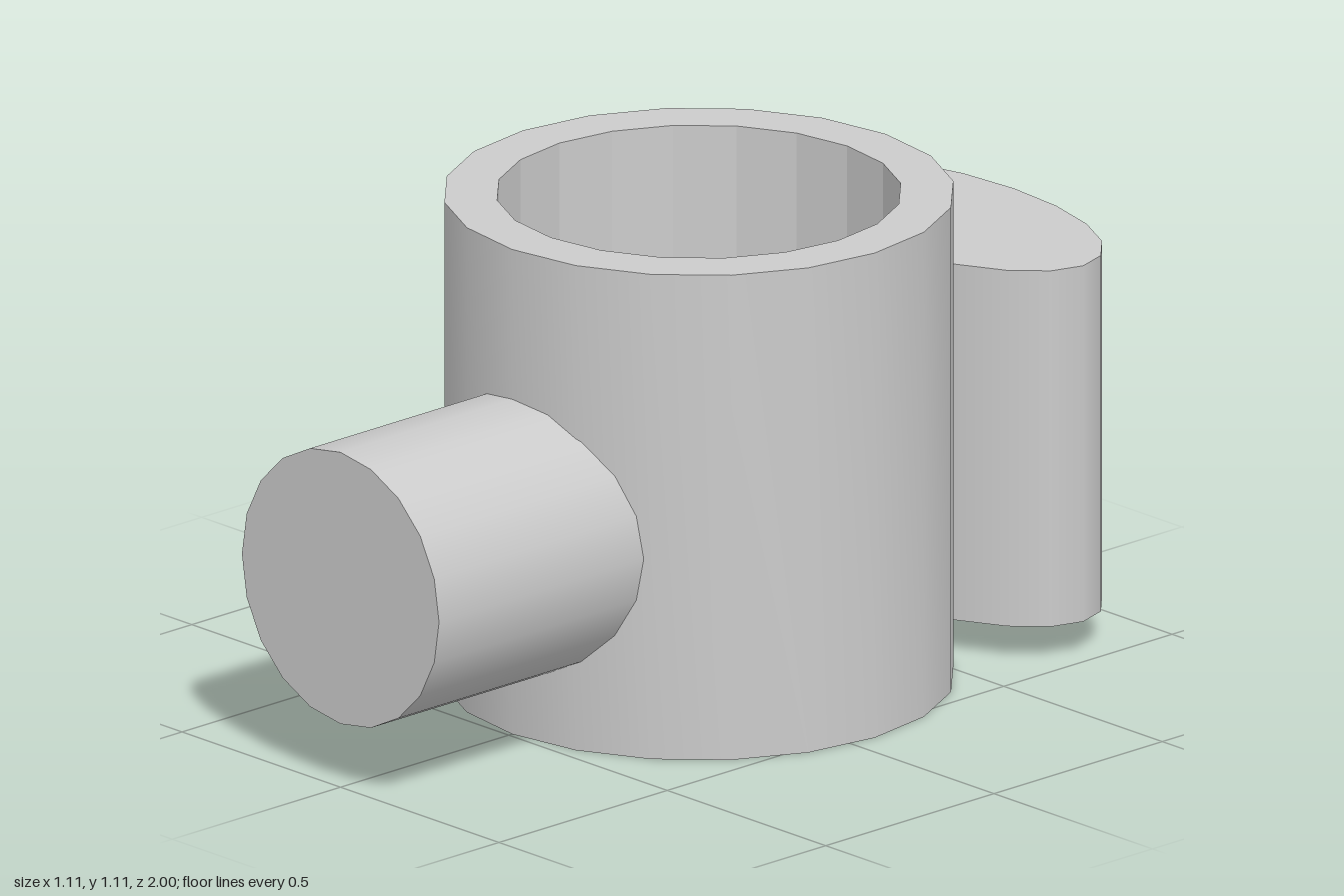
import * as THREE from 'three';
import { toCreasedNormals } from 'three/addons/utils/BufferGeometryUtils.js';

const SIDES = 20;
const grey = new THREE.MeshStandardMaterial({ color: 0xcccccc });
const greyFlat = new THREE.MeshStandardMaterial({ color: 0xcccccc, flatShading: true });

function addPart(parent, name, geometry, x, y, z, material = grey) {
  const mesh = new THREE.Mesh(geometry, material);
  mesh.name = name;
  mesh.position.set(x, y, z);
  parent.add(mesh);
  return mesh;
}

function lathe(points) {
  const profile = points.map(([r, y]) => new THREE.Vector2(r, y));
  return toCreasedNormals(new THREE.LatheGeometry(profile, SIDES), Math.PI / 6);
}

export function createModel() {
  const model = new THREE.Group();
  model.name = 'cupWithSpoutAndGrip';

  // Hollow cup: outer shell with rim, then the faceted cavity
  const R = 0.555, r = 0.44, H = 1.11, floor = 0.11, cupZ = -0.065;
  const cup = new THREE.Group();
  cup.name = 'cup';
  cup.position.z = cupZ;
  addPart(cup, 'cupShell', lathe([[0, 0], [R, 0], [R, H], [r, H]]), 0, 0, 0);
  addPart(cup, 'cupCavity', lathe([[r, H], [r, floor], [0, floor]]), 0, 0, 0, greyFlat);
  model.add(cup);

  // Round stub on the front, ending inside the cup wall
  const stubBack = 0.38, stubLength = 1 - stubBack;
  const stub = new THREE.CylinderGeometry(0.311, 0.311, stubLength, SIDES);
  stub.rotateX(Math.PI / 2);
  addPart(model, 'frontStub', stub, 0, 0.456, stubBack + stubLength / 2);

  // Upright elliptical block on the back, sunk into the cup wall
  const block = new THREE.CylinderGeometry(1, 1, 0.815, SIDES);
  block.scale(0.475, 1, 0.24);
  addPart(model, 'backBlock', block, 0, 0.4875, -0.76);

  return model;
}
